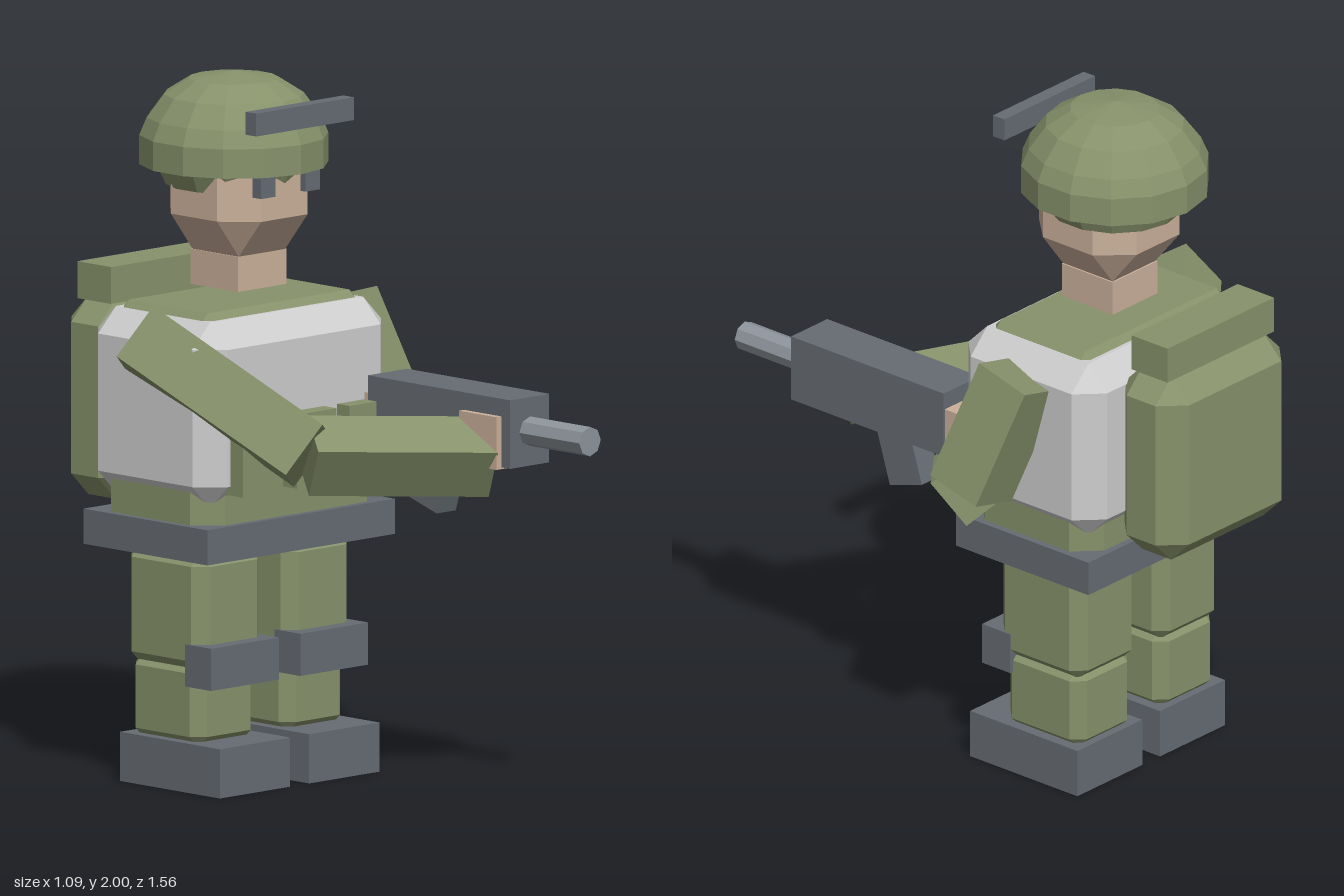
import * as THREE from 'three';
import { ConvexGeometry } from 'three/addons/geometries/ConvexGeometry.js';

const mat = (name, color) => {
  const m = new THREE.MeshStandardMaterial({ color });
  m.name = name;
  return m;
};

export function createModel() {
  const model = new THREE.Group();
  model.name = 'soldier';
  const olive = mat('olive', 0x87926b);
  const slate = mat('slate', 0x666c73);
  const vestGrey = mat('vestGrey', 0xcecece);
  const skin = mat('skin', 0xcbb09b);
  const steel = mat('steel', 0x8d949b);

  const add = (name, geometry, material, parent = model) => {
    const mesh = new THREE.Mesh(geometry, material);
    mesh.name = name;
    parent.add(mesh);
    return mesh;
  };
  const flat = (geometry) => {
    const g = geometry.toNonIndexed();
    g.computeVertexNormals();
    return g;
  };
  // Plain box given by its limits on each axis
  const box = (name, material, [x0, x1], [y0, y1], [z0, z1]) => {
    const mesh = add(name, new THREE.BoxGeometry(x1 - x0, y1 - y0, z1 - z0), material);
    mesh.position.set((x0 + x1) / 2, (y0 + y1) / 2, (z0 + z1) / 2);
    return mesh;
  };
  // Box with every edge cut off by the chamfer c (one value per axis)
  const chamferBox = (name, material, [x0, x1], [y0, y1], [z0, z1], c) => {
    const [cx, cy, cz] = Array.isArray(c) ? c : [c, c, c];
    const hx = (x1 - x0) / 2, hy = (y1 - y0) / 2, hz = (z1 - z0) / 2;
    const pts = [];
    for (const sx of [-1, 1]) for (const sy of [-1, 1]) for (const sz of [-1, 1]) {
      pts.push(
        new THREE.Vector3(sx * hx, sy * (hy - cy), sz * (hz - cz)),
        new THREE.Vector3(sx * (hx - cx), sy * hy, sz * (hz - cz)),
        new THREE.Vector3(sx * (hx - cx), sy * (hy - cy), sz * hz));
    }
    const mesh = add(name, new ConvexGeometry(pts), material);
    mesh.position.set((x0 + x1) / 2, (y0 + y1) / 2, (z0 + z1) / 2);
    return mesh;
  };
  // Square limb running from one joint to the next
  const limb = (name, from, to, width) => {
    const a = new THREE.Vector3(...from), b = new THREE.Vector3(...to);
    const d = b.clone().sub(a);
    const mesh = add(name, new THREE.BoxGeometry(width, d.length(), width), olive);
    mesh.position.copy(a).add(b).multiplyScalar(0.5);
    mesh.quaternion.setFromUnitVectors(new THREE.Vector3(0, 1, 0), d.normalize());
  };

  // Legs
  for (const [side, x] of [['right', -0.228], ['left', 0.122]]) {
    const span = (w) => [x - w / 2, x + w / 2];
    box(side + 'Boot', slate, span(0.275), [0, 0.14], [-0.465, -0.065]);
    chamferBox(side + 'Shin', olive, span(0.24), [0.12, 0.37], [-0.455, -0.17], 0.035);
    chamferBox(side + 'Thigh', olive, span(0.26), [0.335, 0.68], [-0.465, -0.15], 0.038);
    box(side + 'KneePad', slate, span(0.265), [0.3, 0.42], [-0.21, -0.105]);
  }

  // Torso, vest and belt
  box('belt', slate, [-0.42, 0.315], [0.67, 0.77], [-0.555, -0.06]);
  chamferBox('shirt', olive, [-0.4, 0.295], [0.69, 1.365], [-0.535, -0.08], 0.07);
  chamferBox('vest', vestGrey, [-0.42, 0.32], [0.815, 1.345], [-0.567, -0.05], 0.07);
  for (const x of [-0.26, -0.05, 0.157]) {
    box('pouch', olive, [x - 0.078, x + 0.078], [0.86, 1.07], [-0.08, 0.0]);
  }

  // Backpack with bedroll
  chamferBox('backpack', olive, [-0.312, 0.212], [0.77, 1.335], [-0.782, -0.54], 0.067);
  box('bedroll', olive, [-0.278, 0.172], [1.33, 1.435], [-0.725, -0.59]);

  // Neck, head and eyes
  box('neck', skin, [-0.148, 0.042], [1.395, 1.495], [-0.405, -0.215]);
  chamferBox('head', skin, [-0.23, 0.122], [1.495, 1.87], [-0.49, -0.125], [0.085, 0.11, 0.09]);
  for (const x of [-0.137, 0.037]) {
    box('eye', slate, [x - 0.028, x + 0.028], [1.675, 1.735], [-0.14, -0.105]);
  }

  // Helmet dome with a straight lower band, and raised goggles
  const profile = [[0, 1.69], [0.19, 1.68], [0.215, 1.735], [0.264, 1.737], [0.264, 1.82],
    [0.243, 1.87], [0.195, 1.935], [0.125, 1.98], [0, 2]];
  const helmet = add('helmet', flat(new THREE.LatheGeometry(
    profile.map(([r, y]) => new THREE.Vector2(r, y)), 14)), olive);
  helmet.position.set(-0.052, 0, -0.33);
  helmet.scale.z = 1.02;
  box('goggles', slate, [-0.243, 0.14], [1.87, 1.935], [-0.087, -0.045]);

  // Arms and hands
  const rightElbow = [-0.23, 0.985, 0.15], leftElbow = [0.45, 0.95, -0.235];
  limb('rightUpperArm', [-0.44, 1.29, -0.313], rightElbow, 0.175);
  limb('rightForearm', rightElbow, [0.22, 0.96, 0.41], 0.16);
  limb('leftUpperArm', [0.35, 1.29, -0.33], leftElbow, 0.175);
  limb('leftForearm', leftElbow, [0.26, 0.92, -0.08], 0.16);
  box('rightHand', skin, [0.165, 0.315], [0.94, 1.09], [0.35, 0.5]);
  box('leftHand', skin, [0.187, 0.333], [0.94, 1.09], [-0.175, -0.025]);

  // Rifle
  box('rifleBody', slate, [0.185, 0.338], [0.945, 1.14], [-0.035, 0.535]);
  const barrel = add('barrel', flat(new THREE.CylinderGeometry(0.042, 0.042, 0.26, 8)), steel);
  barrel.rotation.x = Math.PI / 2;
  barrel.position.set(0.263, 1.043, 0.645);
  const magazine = box('magazine', slate, [0.225, 0.3], [0.785, 1.005], [0.11, 0.235]);
  magazine.rotation.x = 0.3;

  return model;
}
